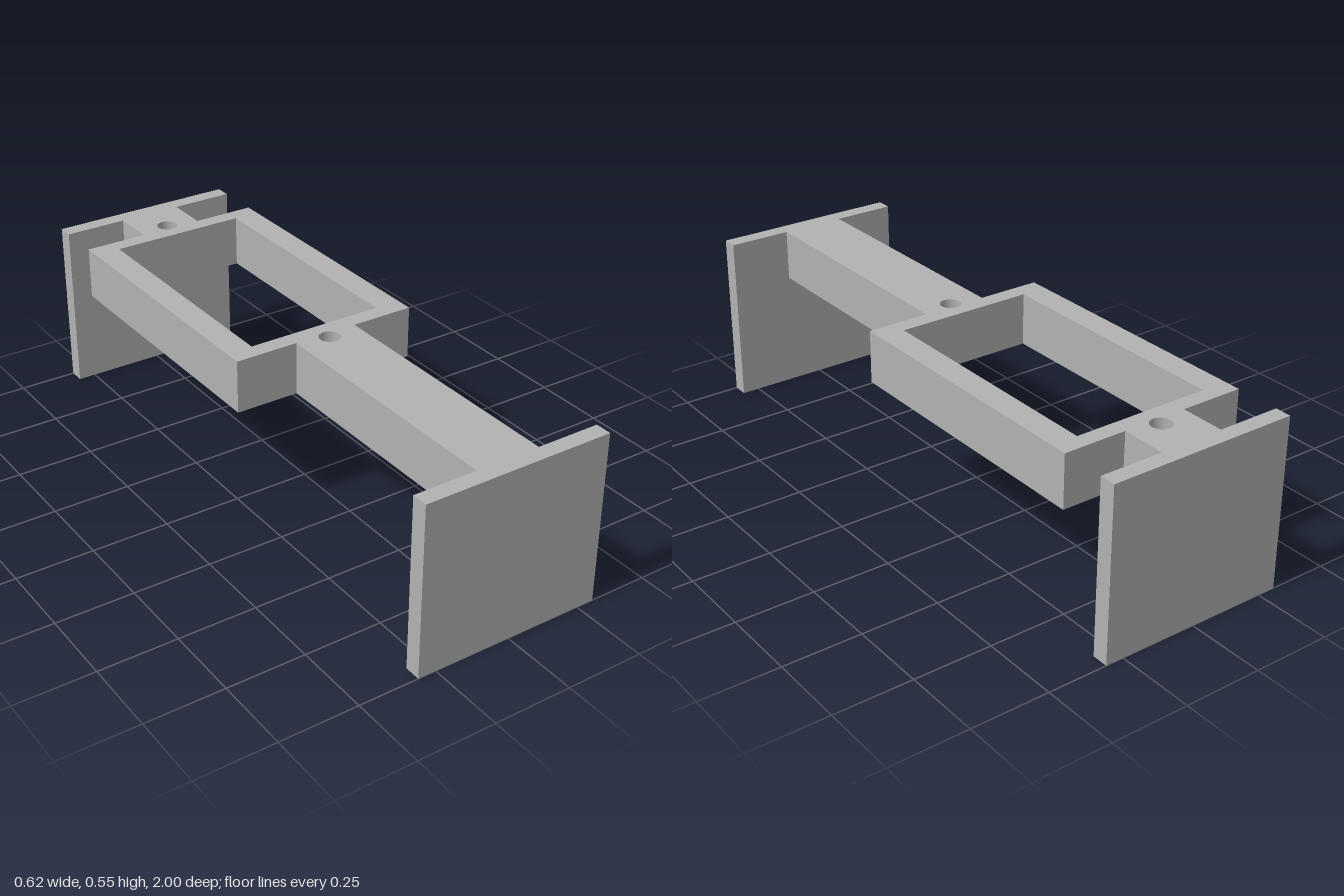
import * as THREE from 'three';

const HALF_W = 0.308, TOP = 0.552, UNDER = 0.383, PLATE = 0.052;
const BEAM = 0.104, FRAME_BACK = -0.805, FRAME_FRONT = 0.113;

// Path of [x, z] points, drawn in a shape plane where shape y = -z
const trace = (path, points) => {
  path.setFromPoints(points.map(([x, z]) => new THREE.Vector2(x, -z)));
  return path;
};

export function createModel() {
  const group = new THREE.Group();
  const grey = new THREE.MeshStandardMaterial({ color: 0xb2b2b2 });
  grey.name = 'plain grey';

  // Upright end plates
  for (const [name, side] of [['frontPlate', 1], ['backPlate', -1]]) {
    const plate = new THREE.Mesh(new THREE.BoxGeometry(2 * HALF_W, TOP, PLATE), grey);
    plate.name = name;
    plate.position.set(0, TOP / 2, side * (1 - PLATE / 2));
    group.add(plate);
  }

  // Bridge: narrow beams joined by a rectangular frame
  const end = 1 - PLATE;
  const half = [
    [BEAM, end], [BEAM, FRAME_FRONT], [HALF_W, FRAME_FRONT],
    [HALF_W, FRAME_BACK], [BEAM, FRAME_BACK], [BEAM, -end],
  ];
  const mirrored = half.map(([x, z]) => [-x, z]).reverse();
  const outline = trace(new THREE.Shape(), [...half, ...mirrored]);

  // Frame opening
  outline.holes.push(trace(new THREE.Path(), [
    [-0.224, 0.058], [0.224, 0.058], [0.224, -0.752], [-0.224, -0.752],
  ]));

  // Screw holes through the beams
  for (const z of [0.134, -0.83]) {
    outline.holes.push(new THREE.Path().absarc(0, -z, 0.033, 0, Math.PI * 2, true));
  }

  const geometry = new THREE.ExtrudeGeometry(outline, {
    depth: TOP - UNDER, bevelEnabled: false, curveSegments: 32,
  });
  geometry.rotateX(-Math.PI / 2);
  const bridge = new THREE.Mesh(geometry, grey);
  bridge.name = 'bridgeFrame';
  bridge.position.y = UNDER;
  group.add(bridge);

  return group;
}
